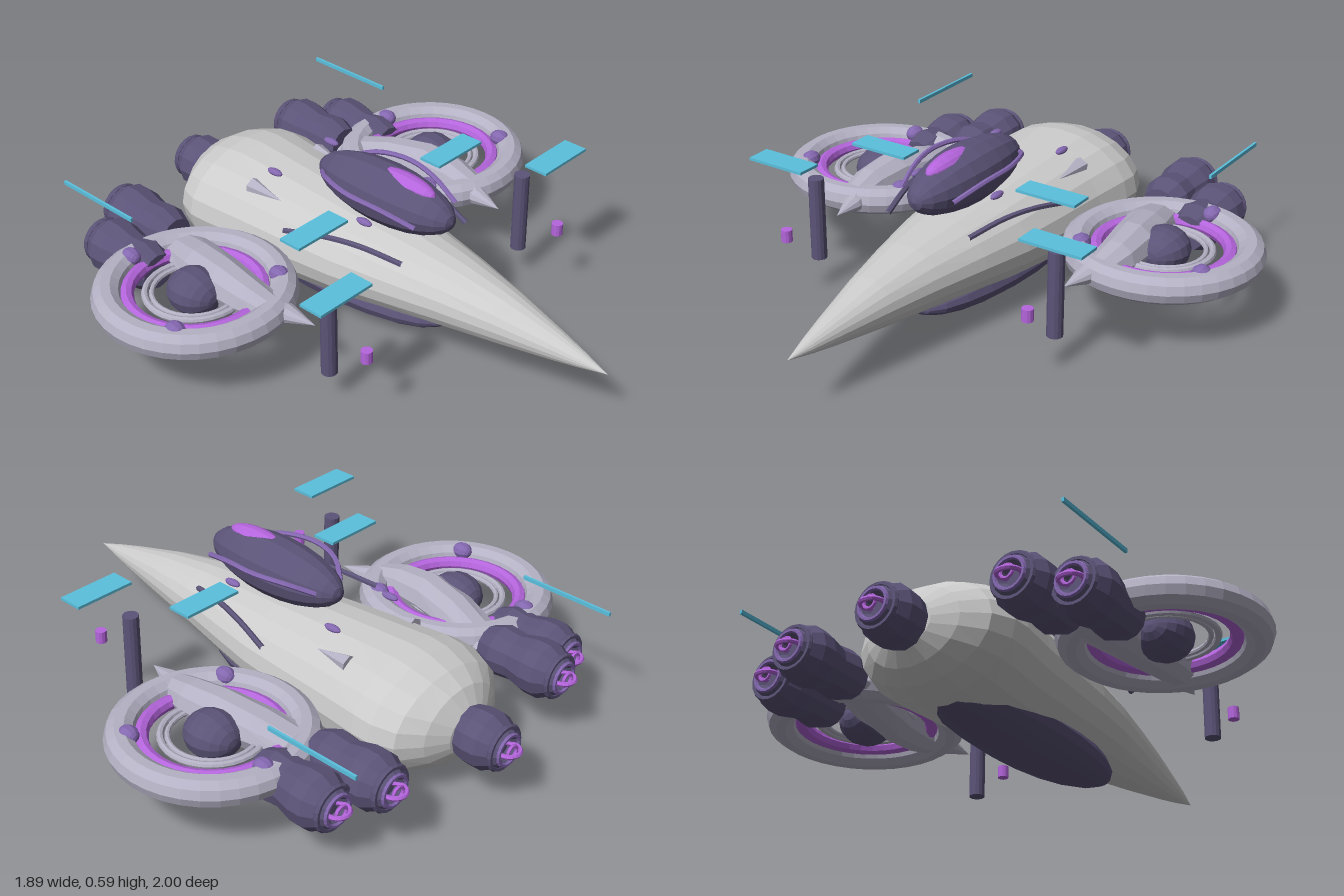
import * as THREE from 'three';

const mat = (color) => new THREE.MeshStandardMaterial({ color, flatShading: true });

export function createModel() {
  const ship = new THREE.Group();
  ship.name = 'spacecraft';
  const grey = mat(0xcccccc), dark = mat(0x5c5478), pale = mat(0xb4b1c4);
  const purple = mat(0xb565dd), violet = mat(0x8468b0), cyan = mat(0x5bc0de);

  function add(name, geometry, material, x = 0, y = 0, z = 0, parent = ship) {
    const mesh = new THREE.Mesh(geometry, material);
    mesh.name = name;
    mesh.position.set(x, y, z);
    parent.add(mesh);
    return mesh;
  }
  const ellipsoid = (rx, ry, rz, w = 14, h = 10) =>
    new THREE.SphereGeometry(1, w, h).rotateX(Math.PI / 2).scale(rx, ry, rz);
  const flatRing = (r, t, seg = 32, radial = 8) =>
    new THREE.TorusGeometry(r, t, radial, seg).rotateX(Math.PI / 2);
  const tube = (pts, r) => new THREE.TubeGeometry(
    new THREE.CatmullRomCurve3(pts.map((p) => new THREE.Vector3(...p))), 14, r, 6);

  // Elliptical cross-sections from front to back: [z, centreX, bottom, top, halfWidth]
  function loft(rows, n) {
    const pos = [], idx = [];
    for (const [z, cx, lo, hi, hw] of rows)
      for (let j = 0; j < n; j++) {
        const a = (j / n) * Math.PI * 2;
        pos.push(cx + hw * Math.cos(a), (lo + hi) / 2 + ((hi - lo) / 2) * Math.sin(a), z);
      }
    for (let i = 0; i < rows.length - 1; i++)
      for (let j = 0; j < n; j++) {
        const a = i * n + j, b = i * n + ((j + 1) % n);
        idx.push(a, a + n, b, b, a + n, b + n);
      }
    const g = new THREE.BufferGeometry();
    g.setAttribute('position', new THREE.Float32BufferAttribute(pos, 3));
    g.setIndex(idx);
    g.computeVertexNormals();
    return g;
  }

  // Fuselage
  add('hull', loft([
    [1, 0, 0.215, 0.215, 0], [0.9, 0, 0.193, 0.247, 0.028], [0.8, 0, 0.175, 0.275, 0.052],
    [0.6, 0, 0.145, 0.325, 0.098], [0.4, 0, 0.122, 0.36, 0.143], [0.2, 0, 0.1, 0.383, 0.188],
    [0, 0, 0.07, 0.402, 0.225], [-0.2, 0, 0.05, 0.42, 0.248], [-0.4, 0, 0.04, 0.434, 0.268],
    [-0.55, 0, 0.04, 0.443, 0.288], [-0.62, 0, 0.045, 0.435, 0.288], [-0.7, 0, 0.065, 0.408, 0.255],
    [-0.76, 0, 0.1, 0.37, 0.18], [-0.8, 0, 0.15, 0.31, 0.1], [-0.81, 0, 0.23, 0.23, 0],
  ], 20), grey);
  add('bellyPod', ellipsoid(0.16, 0.085, 0.52, 16, 12), dark, 0, 0.094, -0.17);

  // Cockpit
  add('canopy', ellipsoid(0.11, 0.104, 0.295, 14, 12), dark, 0, 0.49, 0.06);
  add('canopyWindow', ellipsoid(0.044, 0.037, 0.135), purple, 0, 0.56, 0.14);

  // Thruster: lathe profile [radius, distance behind the front]
  const profile = [[0, 0], [0.065, 0], [0.09, 0.06], [0.083, 0.13], [0.1, 0.2],
    [0.1, 0.25], [0.08, 0.285], [0.058, 0.315], [0.045, 0.315], [0.03, 0.29], [0, 0.29]];
  function thruster(name, x, y, zBack) {
    const g = new THREE.Group();
    g.name = name;
    g.position.set(x, y, zBack);
    ship.add(g);
    const body = new THREE.LatheGeometry(profile.map(([r, d]) => new THREE.Vector2(r, d)), 12);
    add('thrusterBody', body.rotateX(-Math.PI / 2), dark, 0, 0, 0.315, g);
    add('thrusterCollar', new THREE.TorusGeometry(0.073, 0.01, 6, 20), dark, 0, 0, 0.018, g);
    add('nozzleRim', new THREE.TorusGeometry(0.052, 0.008, 6, 20), violet, 0, 0, 0, g);
    add('exhaustLoop', flatRing(0.038, 0.008, 20, 6), purple, 0, 0, 0.0, g);
    add('exhaustRing', new THREE.TorusGeometry(0.022, 0.006, 6, 16), purple, 0, 0, -0.015, g);
  }
  thruster('centreThruster', 0, 0.23, -0.954);

  for (const s of [1, -1]) {
    // Ring wing with nested rings and hub
    const ring = new THREE.Group();
    ring.name = s > 0 ? 'leftRingWing' : 'rightRingWing';
    ring.position.set(s * 0.6, 0.25, -0.25);
    ship.add(ring);
    add('outerRing', flatRing(0.295, 0.052, 36, 10), pale, 0, 0, 0, ring);
    add('glowRing', flatRing(0.228, 0.025), purple, 0, 0, 0, ring);
    add('innerRing', flatRing(0.168, 0.012), pale, 0, 0, 0, ring);
    add('innermostRing', flatRing(0.145, 0.009), pale, 0, 0, 0, ring);
    add('hub', ellipsoid(0.095, 0.08, 0.1), dark, 0, 0, 0, ring);
    for (const [x, z] of [[0.045, -0.27], [0.22, 0.15], [-0.22, 0.175]])
      add('ringNode', ellipsoid(0.033, 0.03, 0.038, 10, 8), violet, s * x, 0.034, z, ring);

    // Curved blade between hull and ring
    add('blade', loft([
      [0.18, s * 0.47, 0.25, 0.25, 0], [0.07, s * 0.487, 0.22, 0.283, 0.038],
      [0.03, s * 0.51, 0.21, 0.3, 0.058], [-0.07, s * 0.519, 0.19, 0.328, 0.073],
      [-0.2, s * 0.512, 0.18, 0.344, 0.085], [-0.35, s * 0.485, 0.19, 0.325, 0.088],
      [-0.48, s * 0.453, 0.2, 0.29, 0.08], [-0.53, s * 0.44, 0.215, 0.27, 0.07],
      [-0.53, s * 0.44, 0.24, 0.24, 0],
    ], 10), pale);

    // Twin rear thrusters
    thruster('innerThruster', s * 0.425, 0.25, -0.853);
    thruster('outerThruster', s * 0.585, 0.22, -0.77);

    // Rails and studs on the upper hull
    add('canopyRail', tube([[s * 0.105, 0.49, 0.28], [s * 0.14, 0.525, 0.15], [s * 0.153, 0.536, 0.02],
      [s * 0.12, 0.53, -0.1], [s * 0.06, 0.5, -0.18]], 0.009), violet);
    add('shoulderRail', tube([[s * 0.165, 0.38, 0.28], [s * 0.205, 0.402, 0.13],
      [s * 0.24, 0.4, 0], [s * 0.28, 0.377, -0.15]], 0.01), dark);
    add('frontStud', ellipsoid(0.015, 0.012, 0.033, 10, 8), violet, s * 0.162, 0.47, 0.11);
    add('rearStud', ellipsoid(0.015, 0.012, 0.033, 10, 8), violet, s * 0.14, 0.47, -0.33);
    add('hullFin', new THREE.ConeGeometry(0.035, 0.15, 6).rotateX(Math.PI / 2),
      pale, s * 0.16, 0.38, -0.35);

    // Free-standing posts and panels
    add('post', new THREE.CylinderGeometry(0.028, 0.028, 0.305, 14), dark, s * 0.49, 0.268, 0.26);
    add('beacon', new THREE.CylinderGeometry(0.02, 0.02, 0.044, 12), purple, s * 0.49, 0.268, 0.425);
    add('innerPanel', new THREE.BoxGeometry(0.226, 0.01, 0.087), cyan, s * 0.342, 0.5, 0.057);
    add('outerPanel', new THREE.BoxGeometry(0.228, 0.01, 0.09), cyan, s * 0.55, 0.5, 0.355);
    add('rearBar', new THREE.BoxGeometry(0.009, 0.014, 0.355), cyan, s * 0.626, 0.42, -0.7);
  }
  return ship;
}
